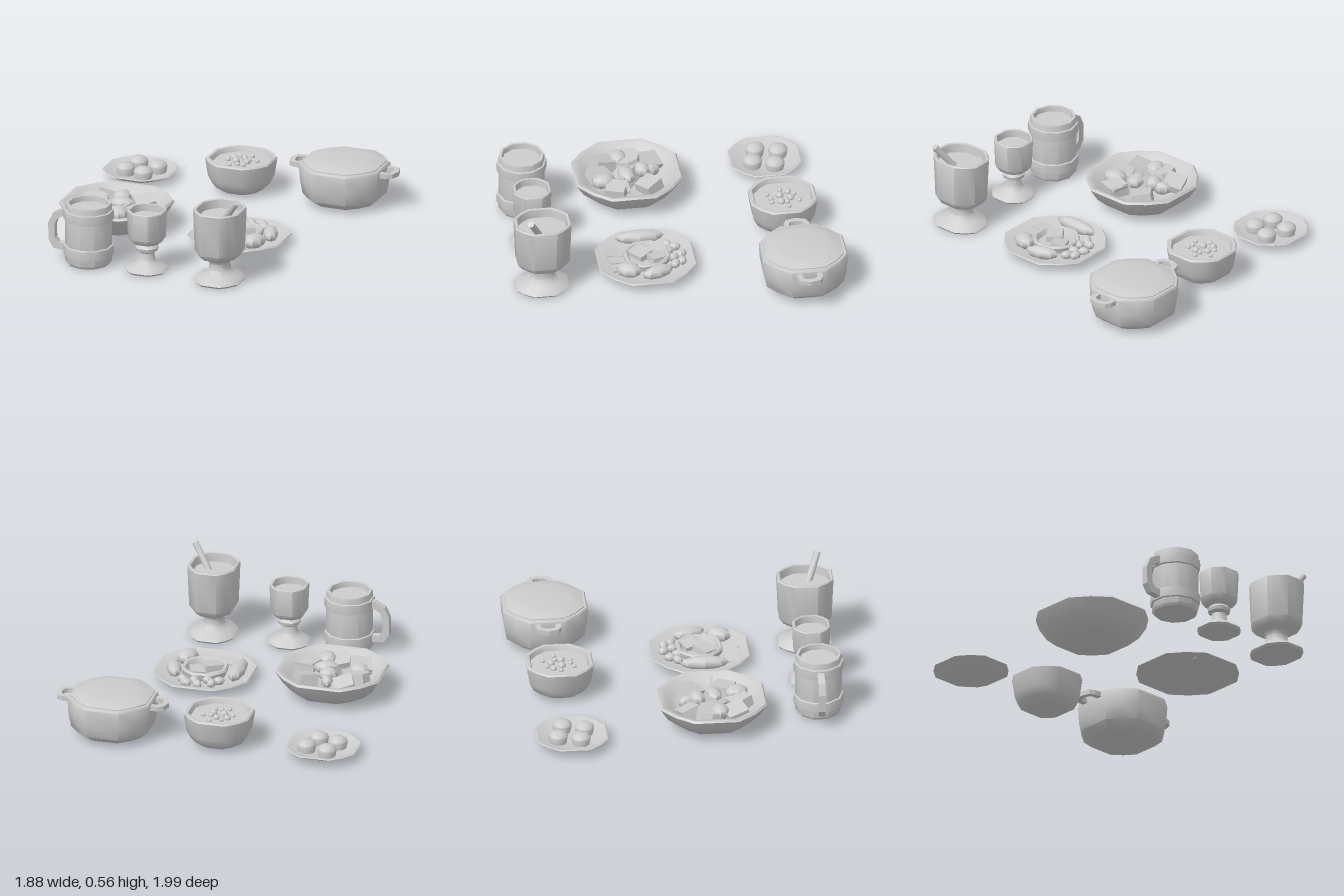
import * as THREE from 'three';
import { toCreasedNormals } from 'three/addons/utils/BufferGeometryUtils.js';

const mat = new THREE.MeshStandardMaterial({ color: 0xcccccc, side: THREE.DoubleSide });
const flat = new THREE.MeshStandardMaterial({ color: 0xcccccc, flatShading: true });

function add(parent, name, geo, x = 0, y = 0, z = 0, material = mat) {
  const m = new THREE.Mesh(geo, material);
  m.name = name;
  m.position.set(x, y, z);
  parent.add(m);
  return m;
}

function section(parent, name, x, z) {
  const g = new THREE.Group();
  g.name = name;
  g.position.set(x, 0, z);
  parent.add(g);
  return g;
}

// Turned profile of [half width, height] pairs, listed bottom-outside to top-inside.
// The ring is a rounded square: four flats, each corner cut by an extra point.
function vessel(profile, sz = 1) {
  const pts = profile.map(([r, y]) => new THREE.Vector2(r, y));
  const geo = new THREE.LatheGeometry(pts, 12);
  const p = geo.attributes.position;
  for (let i = 0; i <= 12; i++) {
    const k = i % 12;
    const a = Math.floor(k / 3) * Math.PI / 2 + [22.5, 45, 67.5][k % 3] * Math.PI / 180;
    const f = k % 3 === 1 ? 1.05 : 1.08;
    pts.forEach((v, j) => p.setXYZ(i * pts.length + j,
      Math.sin(a) * v.x * f, v.y, Math.cos(a) * v.x * f * sz));
  }
  return toCreasedNormals(geo, 0.75);
}

function turned(profile, sides) {
  const pts = profile.map(([r, y]) => new THREE.Vector2(r, y));
  return toCreasedNormals(new THREE.LatheGeometry(pts, sides), 0.75);
}

// Flat loop cut from an outline with a hole, centred on its thickness.
function loop(outer, inner, depth) {
  const v = (a) => a.map(([x, y]) => new THREE.Vector2(x, y));
  const s = new THREE.Shape(v(outer));
  s.holes.push(new THREE.Path(v(inner)));
  return new THREE.ExtrudeGeometry(s, { depth, bevelEnabled: false }).translate(0, 0, -depth / 2);
}

function lump(parent, name, x, y, z, sx, sy, sz, turn = 0) {
  const m = add(parent, name, toCreasedNormals(new THREE.SphereGeometry(1, 8, 6), 0.6), x, y, z);
  m.scale.set(sx, sy, sz);
  m.rotation.y = turn;
}

function chunk(parent, name, x, y, z, w, h, d, rx, ry, rz) {
  add(parent, name, new THREE.BoxGeometry(w, h, d), x, y, z, flat).rotation.set(rx, ry, rz);
}

export function createModel() {
  const root = new THREE.Group();
  root.name = 'tableware';

  // Small plate with four buns
  const bunPlate = section(root, 'bunPlate', -0.725, -0.695);
  add(bunPlate, 'smallPlate', vessel([[0, 0.005], [0.08, 0.005], [0.15, 0.025], [0.217, 0.06],
    [0.21, 0.064], [0.14, 0.035], [0, 0.028]]));
  [[-0.045, -0.087], [0.093, -0.05], [-0.077, 0.05], [0.05, 0.082]].forEach(([x, z]) =>
    add(bunPlate, 'bun', turned([[0, 0.02], [0.05, 0.02], [0.06, 0.075], [0.056, 0.086],
      [0.035, 0.102], [0, 0.108]], 14), x, 0, z));

  // Soup bowl with floating peas
  const soup = section(root, 'soupBowl', -0.075, -0.71);
  add(soup, 'bowl', vessel([[0, 0.01], [0.11, 0.012], [0.16, 0.045], [0.187, 0.1], [0.203, 0.208],
    [0.195, 0.217], [0.178, 0.215], [0.168, 0.185], [0, 0.185]]));
  [[-0.06, -0.04, 0.022], [0.005, -0.05, 0.022], [0.045, -0.025, 0.017], [0.035, -0.1, 0.015],
    [0.093, -0.027, 0.015], [-0.028, 0.013, 0.025], [0.04, 0.013, 0.025], [-0.085, 0.004, 0.016],
    [-0.043, 0.087, 0.015], [0.003, 0.07, 0.016], [0.042, 0.07, 0.015], [-0.033, -0.075, 0.015]]
    .forEach(([x, z, r]) => lump(soup, 'pea', x, 0.19, z, r, r, r));

  // Lidded pot with two loop handles
  const pot = section(root, 'pot', 0.585, -0.742);
  add(pot, 'potBody', vessel([[0, 0.01], [0.12, 0.011], [0.19, 0.025], [0.237, 0.065],
    [0.252, 0.15], [0.258, 0.25], [0.25, 0.262], [0.23, 0.262]]));
  add(pot, 'lid', vessel([[0.238, 0.255], [0.236, 0.268], [0.185, 0.288], [0.15, 0.294], [0, 0.295]]));
  for (const s of [-1, 1]) {
    const h = add(pot, 'potHandle', loop(
      [[0.22, -0.08], [0.3, -0.078], [0.335, -0.06], [0.352, 0], [0.335, 0.06], [0.3, 0.078], [0.22, 0.08]],
      [[0.235, -0.045], [0.295, -0.045], [0.312, -0.03], [0.318, 0], [0.312, 0.03], [0.295, 0.045], [0.235, 0.045]],
      0.03), 0, 0.23, 0);
    h.rotation.set(-Math.PI / 2, 0, s > 0 ? 0 : Math.PI);
  }

  // Large salad bowl
  const salad = section(root, 'saladBowl', -0.54, 0.175);
  add(salad, 'largeBowl', vessel([[0, 0.01], [0.15, 0.012], [0.22, 0.035], [0.28, 0.09], [0.325, 0.165],
    [0.315, 0.177], [0.285, 0.17], [0.25, 0.125], [0.2, 0.1], [0, 0.095]]));
  [[-0.12, -0.15, 0.12, 0.4], [0.135, -0.12, 0.12, 0.65], [-0.14, 0.135, 0.13, 0.3],
    [0.155, 0.085, 0.12, 1.2], [-0.01, 0.17, 0.12, 0.5], [0.02, 0.02, 0.13, 0.9]]
    .forEach(([x, z, s, a], i) => chunk(salad, 'saladCube', x, 0.125, z, s, 0.09, s,
      0.25 * (i % 2 ? 1 : -1), a, 0.2 * (i % 3 - 1)));
  add(salad, 'saladLeaf', new THREE.CylinderGeometry(0.085, 0.1, 0.07, 8), -0.15, 0.14, -0.02, flat).rotation.x = 0.15;
  lump(salad, 'tomato', 0, 0.165, -0.09, 0.06, 0.045, 0.05, 0.4);
  lump(salad, 'tomato', -0.16, 0.16, 0.035, 0.065, 0.04, 0.055);
  lump(salad, 'tomato', 0.04, 0.165, 0.01, 0.08, 0.04, 0.052, 0.2);
  lump(salad, 'tomato', 0.075, 0.155, 0.155, 0.06, 0.045, 0.075, 0.3);
  lump(salad, 'tomato', -0.005, 0.15, -0.15, 0.035, 0.04, 0.06, 0.4);
  chunk(salad, 'saladStick', 0.19, 0.165, 0.02, 0.12, 0.018, 0.02, 0, 0, 0.1);

  // Dinner plate with a dip bowl and sides
  const plate = section(root, 'dinnerPlate', 0.258, 0.175);
  add(plate, 'plate', vessel([[0, 0.005], [0.12, 0.006], [0.2, 0.024], [0.297, 0.062],
    [0.292, 0.069], [0.2, 0.042], [0, 0.036]]));
  const dip = add(plate, 'dipBowl', vessel([[0.1, 0.03], [0.13, 0.05], [0.138, 0.085], [0.13, 0.095],
    [0.115, 0.092], [0.1, 0.062], [0, 0.06]]), 0, 0, -0.005);
  dip.rotation.y = 0.08;
  chunk(plate, 'dipCube', -0.03, 0.065, 0.03, 0.12, 0.06, 0.1, 0.1, 0.65, 0);
  chunk(plate, 'dipCube', 0.035, 0.065, -0.06, 0.09, 0.06, 0.09, -0.1, 0.4, 0.15);
  lump(plate, 'sausage', -0.203, 0.08, 0.01, 0.048, 0.042, 0.15);
  lump(plate, 'sausage', 0.183, 0.075, -0.05, 0.046, 0.04, 0.105, 0.35);
  lump(plate, 'potato', 0.145, 0.08, 0.125, 0.058, 0.046, 0.08, -0.4);
  [[-0.09, -0.19], [-0.008, -0.22], [0.065, -0.215], [-0.125, -0.145], [-0.053, -0.14],
    [0.024, -0.165], [0.095, -0.17]].forEach(([x, z], i) =>
    lump(plate, 'bean', x, 0.065, z, 0.028, 0.026, 0.037, i * 0.7));
  for (const i of [0, 1, 2]) {
    chunk(plate, 'slice', -0.1 + i * 0.08, 0.05, 0.185, 0.11, 0.012, 0.09, -0.1, i * 0.15, 0.08);
  }

  // Mug with two bands and a side handle
  const mug = section(root, 'mug', -0.467, 0.83);
  add(mug, 'mugBody', turned([[0, 0.008], [0.13, 0.008], [0.142, 0.025], [0.142, 0.38], [0.138, 0.393],
    [0.122, 0.393], [0.118, 0.36], [0, 0.36]], 10));
  for (const y of [0.06, 0.285]) {
    add(mug, 'mugBand', turned([[0.138, y], [0.152, y + 0.005], [0.155, y + 0.035],
      [0.152, y + 0.065], [0.138, y + 0.07]], 10));
  }
  add(mug, 'mugHandle', loop(
    [[-0.12, 0.34], [-0.16, 0.34], [-0.225, 0.305], [-0.255, 0.24], [-0.253, 0.13], [-0.22, 0.08], [-0.12, 0.07]],
    [[-0.13, 0.295], [-0.165, 0.29], [-0.2, 0.265], [-0.213, 0.23], [-0.212, 0.15], [-0.19, 0.12], [-0.13, 0.115]],
    0.042));

  // Small goblet
  const goblet = section(root, 'smallGoblet', -0.092, 0.82);
  add(goblet, 'goblet', vessel([[0, 0.006], [0.115, 0.006], [0.126, 0.018], [0.115, 0.033], [0.07, 0.052],
    [0.048, 0.08], [0.042, 0.125], [0.062, 0.138], [0.066, 0.158], [0.05, 0.178], [0.085, 0.19],
    [0.106, 0.222], [0.113, 0.39], [0.108, 0.396], [0.097, 0.394], [0.094, 0.35], [0, 0.35]]));

  // Large goblet with a straw
  const tall = section(root, 'largeGoblet', 0.384, 0.825);
  add(tall, 'goblet', vessel([[0, 0.006], [0.135, 0.006], [0.144, 0.018], [0.132, 0.036], [0.085, 0.055],
    [0.062, 0.085], [0.058, 0.125], [0.07, 0.148], [0.115, 0.168], [0.138, 0.205], [0.148, 0.465],
    [0.142, 0.472], [0.13, 0.468], [0.125, 0.415], [0, 0.415]], 1.15));
  const a = new THREE.Vector3(0.025, 0.39, 0.02), b = new THREE.Vector3(0.142, 0.552, 0.09);
  const dir = b.clone().sub(a);
  const mid = a.clone().add(b).multiplyScalar(0.5);
  add(tall, 'straw', toCreasedNormals(new THREE.CylinderGeometry(0.021, 0.021, dir.length(), 8), 0.9), mid.x, mid.y, mid.z)
    .quaternion.setFromUnitVectors(new THREE.Vector3(0, 1, 0), dir.normalize());

  return root;
}
